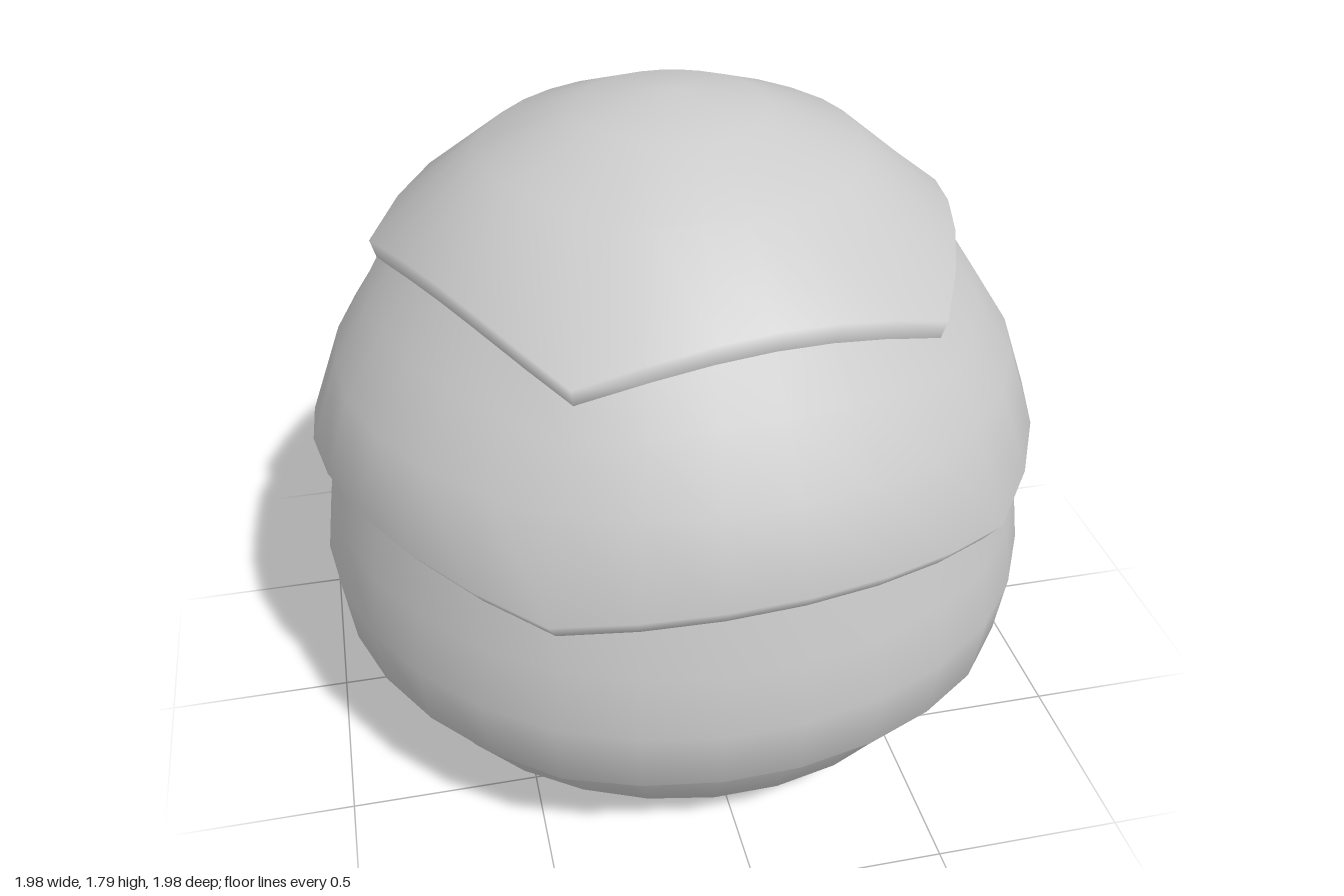
import * as THREE from 'three';

const SIDES = 30;
const CORNER = THREE.MathUtils.degToRad(47); // direction of one of the five corners
const SECTOR = (Math.PI * 2) / 5;

// Lofts a closed ring surface from profile rows, listed top to bottom:
// [radius, height, extra radius at corners, extra height at corners, tilt]
function loft(name, rows, material) {
  const positions = [];
  const index = [];
  for (const [r, y, dr = 0, dy = 0, tilt = 0] of rows) {
    for (let j = 0; j < SIDES; j++) {
      const a = CORNER + (j / SIDES) * Math.PI * 2;
      // 0 in the middle of a pentagon side, 1 at its corner
      const t = Math.abs(((j / SIDES) * 5) % 1 - 0.5) * 2;
      const p = t * t;
      const radius = r + dr * p;
      const x = Math.cos(a) * radius;
      const z = Math.sin(a) * radius;
      positions.push(x, y + dy * p + tilt * (x - z), z);
    }
  }
  for (let i = 0; i < rows.length - 1; i++) {
    for (let j = 0; j < SIDES; j++) {
      const k = (j + 1) % SIDES;
      const a = i * SIDES + j, b = i * SIDES + k;
      const c = a + SIDES, d = b + SIDES;
      if (rows[i][0] > 0) index.push(a, b, c);
      if (rows[i + 1][0] > 0) index.push(b, d, c);
    }
  }
  // Pole vertices share one normal, set along the axis
  const geometry = new THREE.BufferGeometry();
  geometry.setAttribute('position', new THREE.Float32BufferAttribute(positions, 3));
  geometry.setIndex(index);
  geometry.computeVertexNormals();
  rows.forEach(([r], i) => {
    if (r > 0) return;
    for (let j = 0; j < SIDES; j++) {
      geometry.attributes.normal.setXYZ(i * SIDES + j, 0, i === 0 ? 1 : -1, 0);
    }
  });
  const mesh = new THREE.Mesh(geometry, material);
  mesh.name = name;
  return mesh;
}

export function createModel() {
  const group = new THREE.Group();
  group.name = 'layeredDome';
  const material = new THREE.MeshStandardMaterial({ color: 0xcccccc, side: THREE.DoubleSide });

  // Five-cornered cap with a small overhanging rim
  group.add(loft('topCap', [
    [0, 1.795],
    [0.25, 1.75],
    [0.49, 1.655, 0.02, -0.01],
    [0.72, 1.48, 0.08, -0.1],
    [0.705, 1.42, 0.08, -0.09],
  ], material));

  // Flaring band below the cap, its rim dipping at the corners
  group.add(loft('upperBand', [
    [0.7, 1.43, 0.08, -0.09],
    [0.8, 1.29, 0.03, -0.04],
    [0.91, 1.12],
    [0.98, 0.92, 0.025, -0.06],
    [0.935, 0.86, 0.025, -0.06],
  ], material));

  // Bulging band around the widest part
  group.add(loft('lowerBand', [
    [0.935, 0.87, 0.02, -0.06],
    [0.962, 0.7, 0.01],
    [0.985, 0.53, 0.01],
    [0.962, 0.36, 0.005, -0.02],
    [0.89, 0.31, 0.005, -0.01],
  ], material));

  // Shallow bowl, its underside slightly tilted
  group.add(loft('base', [
    [0.89, 0.32],
    [0.825, 0.16],
    [0.69, 0.07, 0, 0, 0.01],
    [0.46, 0.02, 0, 0, 0.025],
    [0, 0.005],
  ], material));

  return group;
}
